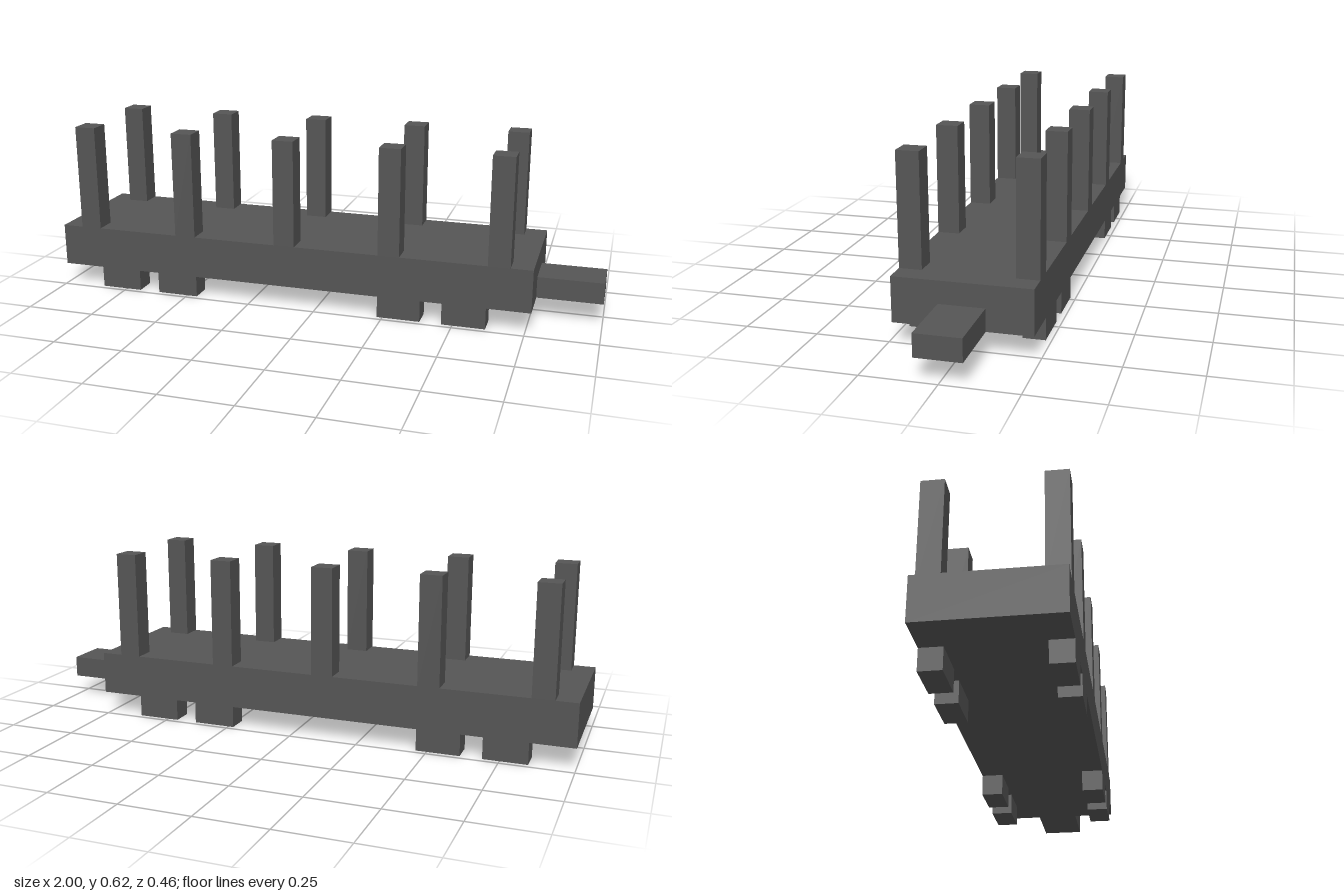
import * as THREE from 'three';

// The whole wagon sits on a grid of 26 cells along its length.
const U = 1 / 13;

export function createModel() {
  const model = new THREE.Group();
  model.name = 'flatWagon';

  const darkGrey = new THREE.MeshStandardMaterial({ color: 0x555555 });
  darkGrey.name = 'darkGrey';

  // Box spanning grid cells, from its minimum corner with a given size
  function block(name, [x, y, z], [w, h, d]) {
    const mesh = new THREE.Mesh(new THREE.BoxGeometry(w * U, h * U, d * U), darkGrey);
    mesh.position.set((x + w / 2) * U, (y + h / 2) * U, (z + d / 2) * U);
    mesh.name = name;
    model.add(mesh);
  }

  // Deck and the coupler at its end
  block('deck', [-13, 1, -3], [23, 2, 6]);
  block('coupler', [10, 1, -1], [3, 1, 2]);

  // Stakes and wheels along both long edges
  for (const [side, z] of [['front', 2], ['back', -3]]) {
    [-12, -7, -2, 3, 8].forEach((x, i) => block(`${side}Stake${i + 1}`, [x, 3, z], [1, 5, 1]));
    [-11, -8, 3, 6].forEach((x, i) => block(`${side}Wheel${i + 1}`, [x, 0, z], [2, 1, 1]));
  }

  return model;
}
